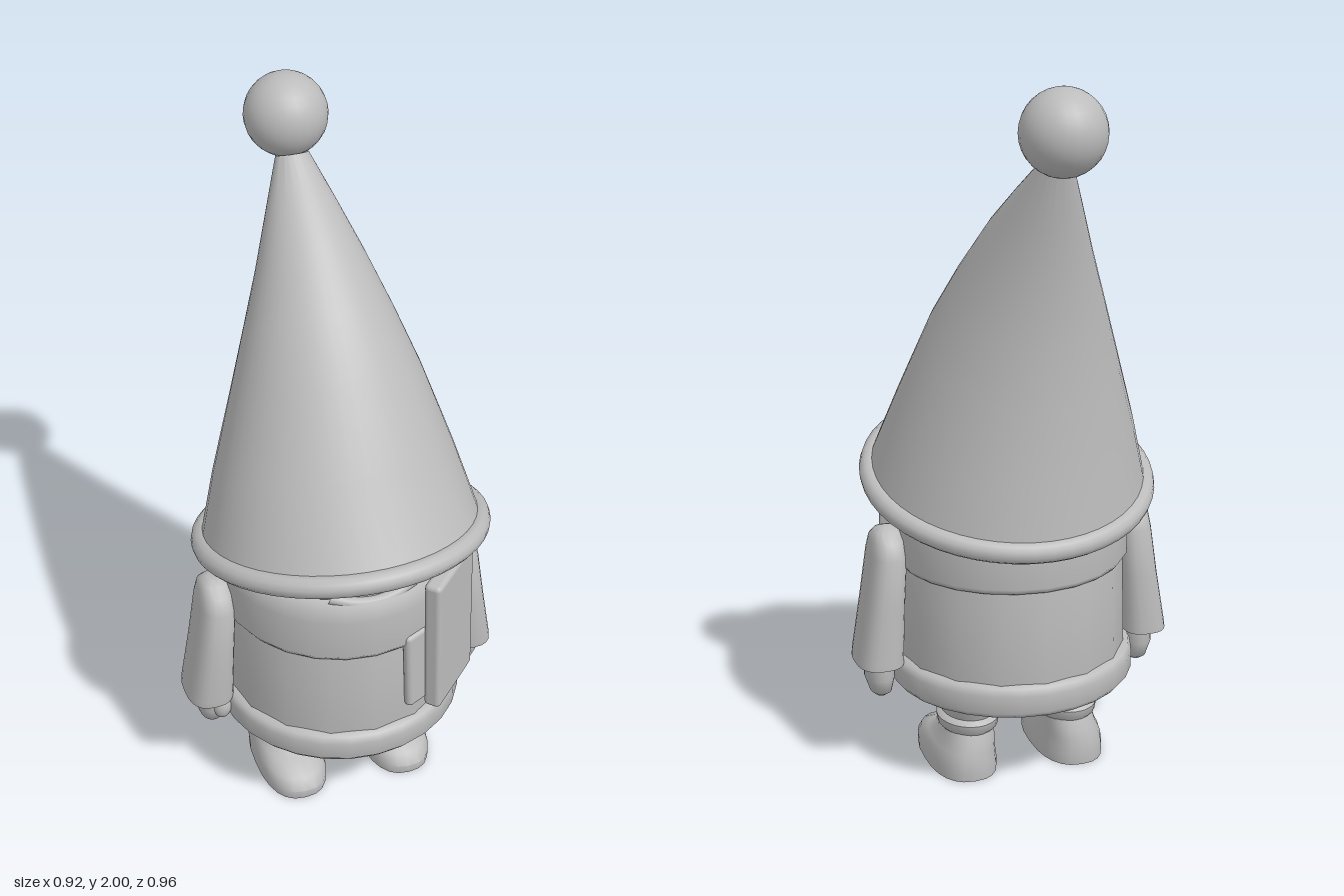
import * as THREE from 'three';
import { RoundedBoxGeometry } from 'three/addons/geometries/RoundedBoxGeometry.js';
import { toCreasedNormals } from 'three/addons/utils/BufferGeometryUtils.js';

const grey = new THREE.MeshStandardMaterial({ color: 0xbcbcbc, side: THREE.DoubleSide });
grey.name = 'plain grey';

function add(parent, name, geometry, x = 0, y = 0, z = 0) {
  const mesh = new THREE.Mesh(geometry, grey);
  mesh.name = name;
  mesh.position.set(x, y, z);
  parent.add(mesh);
  return mesh;
}

// Skins tilted oval sections: [front z, front y, back z, back y, half width, centre x].
// power below 1 makes the ovals boxier; both ends are closed unless open is set.
function loft(sections, { sides = 24, power = 1, open = false, crease = 0.9 } = {}) {
  const pos = [], index = [];
  const bend = v => Math.sign(v) * Math.abs(v) ** power;
  for (const [fz, fy, bz, by, w, cx = 0] of sections) {
    for (let i = 0; i < sides; i++) {
      const t = (i / sides) * Math.PI * 2, c = bend(Math.cos(t));
      pos.push(cx + w * bend(Math.sin(t)), (fy + by) / 2 + c * (fy - by) / 2, (fz + bz) / 2 + c * (fz - bz) / 2);
    }
  }
  for (let k = 0; k < sections.length - 1; k++) {
    for (let i = 0; i < sides; i++) {
      const a = k * sides + i, b = k * sides + (i + 1) % sides;
      index.push(a, b, a + sides, b, b + sides, a + sides);
    }
  }
  if (!open) {
    const last = (sections.length - 1) * sides;
    for (let i = 1; i < sides - 1; i++) {
      index.push(0, i + 1, i, last, last + i, last + i + 1);
    }
  }
  const g = new THREE.BufferGeometry();
  g.setAttribute('position', new THREE.Float32BufferAttribute(pos, 3));
  g.setIndex(index);
  return toCreasedNormals(g, crease);
}

function lathe(profile, segments) {
  return new THREE.LatheGeometry(profile.map(p => new THREE.Vector2(...p)), segments);
}

function buildHat() {
  const hat = new THREE.Group();
  hat.name = 'hat';
  add(hat, 'hatCone', loft([
    [0.45, 0.96, -0.30, 0.75, 0.385],
    [0.31, 1.17, -0.285, 0.92, 0.33],
    [0.175, 1.39, -0.277, 1.12, 0.26],
    [0.06, 1.52, -0.277, 1.29, 0.205],
    [-0.07, 1.65, -0.29, 1.46, 0.145],
    [-0.18, 1.735, -0.315, 1.62, 0.095],
    [-0.28, 1.81, -0.35, 1.78, 0.045],
  ], { sides: 48, open: true }));
  const rim = add(hat, 'hatRim', new THREE.TorusGeometry(0.383, 0.031, 12, 48), 0, 0.845, 0.08);
  rim.rotation.x = Math.PI / 2 - 0.25;
  add(hat, 'bobble', new THREE.SphereGeometry(0.113, 24, 16), 0, 1.887, -0.365);
  return hat;
}

function buildHead() {
  const head = new THREE.Group();
  head.name = 'head';
  add(head, 'face', lathe([[0.3, 0.6], [0.305, 0.78], [0.3, 0.86], [0.25, 0.97], [0.13, 1.06], [0, 1.09]], 32), 0, 0, 0.05);
  add(head, 'nose', new THREE.SphereGeometry(0.026, 16, 12), 0, 0.88, 0.365);
  for (const s of [-1, 1]) {
    add(head, 'eye', new THREE.SphereGeometry(0.022, 12, 8), s * 0.085, 0.9, 0.33).scale.set(1.2, 1, 0.5);
  }
  // Smiling lip that follows the curve of the face
  const lip = [-0.12, -0.06, 0, 0.06, 0.12].map(x =>
    new THREE.Vector3(x, 0.795 + x * x * 1.6, 0.055 + Math.sqrt(0.305 ** 2 - x * x)));
  add(head, 'mouth', new THREE.TubeGeometry(new THREE.CatmullRomCurve3(lip), 16, 0.016, 8));
  return head;
}

function buildCoat() {
  const coat = new THREE.Group();
  coat.name = 'coat';
  coat.position.z = 0.06;
  add(coat, 'coatBody', lathe([[0.31, 0.28], [0.326, 0.34], [0.322, 0.5], [0.318, 0.64], [0.305, 0.7]], 16));
  add(coat, 'coatHem', lathe([
    [0.3, 0.3], [0.305, 0.265], [0.335, 0.258], [0.349, 0.275], [0.349, 0.325], [0.34, 0.345], [0.32, 0.35]], 28));
  add(coat, 'scarfBand', lathe([
    [0.3, 0.625], [0.322, 0.618], [0.334, 0.635], [0.332, 0.75], [0.325, 0.8], [0.3, 0.81]], 24));
  // Hanging scarf ends, turned to face out from the body
  const ends = [
    ['scarfEnd', 0.76, 0.345, 0.22, 0.45, 0.05, 0.605],
    ['scarfUnderEnd', 0.42, 0.325, 0.1, 0.26, 0.03, 0.53],
  ];
  for (const [name, angle, r, w, h, d, y] of ends) {
    const end = add(coat, name, new RoundedBoxGeometry(w, h, d, 3, 0.014), Math.sin(angle) * r, y, Math.cos(angle) * r);
    end.rotation.set(0, angle, 0.05, 'YXZ');
  }
  return coat;
}

function buildArm(side) {
  const arm = new THREE.Group();
  arm.name = side > 0 ? 'leftArm' : 'rightArm';
  const at = (y, zf, zb, inner, outer) => [zf, y, zb, y, (outer - inner) / 2, side * (inner + outer) / 2];
  add(arm, 'sleeve', loft([
    at(0.342, 0.15, -0.043, 0.325, 0.46),
    at(0.36, 0.152, -0.043, 0.325, 0.458),
    at(0.52, 0.148, -0.035, 0.318, 0.432),
    at(0.66, 0.142, -0.03, 0.31, 0.412),
    at(0.705, 0.122, -0.012, 0.315, 0.405),
    at(0.728, 0.095, 0.012, 0.325, 0.393),
    at(0.737, 0.07, 0.035, 0.34, 0.375),
  ], { power: 0.75 }));
  add(arm, 'hand', loft([
    at(0.232, 0.07, 0.035, 0.37, 0.4),
    at(0.245, 0.095, 0.015, 0.355, 0.415),
    at(0.29, 0.115, 0, 0.345, 0.43),
    at(0.36, 0.11, 0.005, 0.345, 0.43),
  ]));
  const thumb = add(arm, 'thumb', new THREE.SphereGeometry(0.028, 12, 10), side * 0.365, 0.305, 0.105);
  thumb.scale.y = 1.5;
  return arm;
}

function buildLeg(side) {
  const leg = new THREE.Group();
  leg.name = side > 0 ? 'leftLeg' : 'rightLeg';
  const at = (y, zf, zb, w, x) => [zf, y, zb, y, w, side * x];
  add(leg, 'trouserLeg', loft([
    at(0.165, 0.085, -0.09, 0.07, 0.145),
    at(0.2, 0.1, -0.105, 0.082, 0.148),
    at(0.25, 0.12, -0.13, 0.09, 0.14),
    at(0.34, 0.15, -0.16, 0.13, 0.12),
  ]));
  add(leg, 'cuff', loft([
    at(0.125, 0.08, -0.09, 0.07, 0.147),
    at(0.14, 0.1, -0.105, 0.084, 0.147),
    at(0.165, 0.105, -0.11, 0.088, 0.147),
    at(0.182, 0.085, -0.09, 0.07, 0.147),
  ]));
  add(leg, 'shoe', loft([
    at(0, 0.245, -0.118, 0.097, 0.16),
    at(0.03, 0.25, -0.12, 0.097, 0.16),
    at(0.058, 0.225, -0.117, 0.092, 0.16),
    at(0.08, 0.165, -0.113, 0.085, 0.157),
    at(0.105, 0.1, -0.107, 0.075, 0.152),
    at(0.15, 0.075, -0.09, 0.066, 0.147),
  ], { power: 0.8 }));
  return leg;
}

export function createModel() {
  const figure = new THREE.Group();
  figure.name = 'hattedFigure';
  figure.add(buildHat(), buildHead(), buildCoat());
  for (const side of [-1, 1]) figure.add(buildArm(side), buildLeg(side));
  // Seat of the trousers, inside the open coat
  add(figure, 'trouserSeat', new THREE.SphereGeometry(0.2, 24, 16), 0, 0.38, 0.0).scale.set(1.15, 0.7, 0.9);
  return figure;
}
